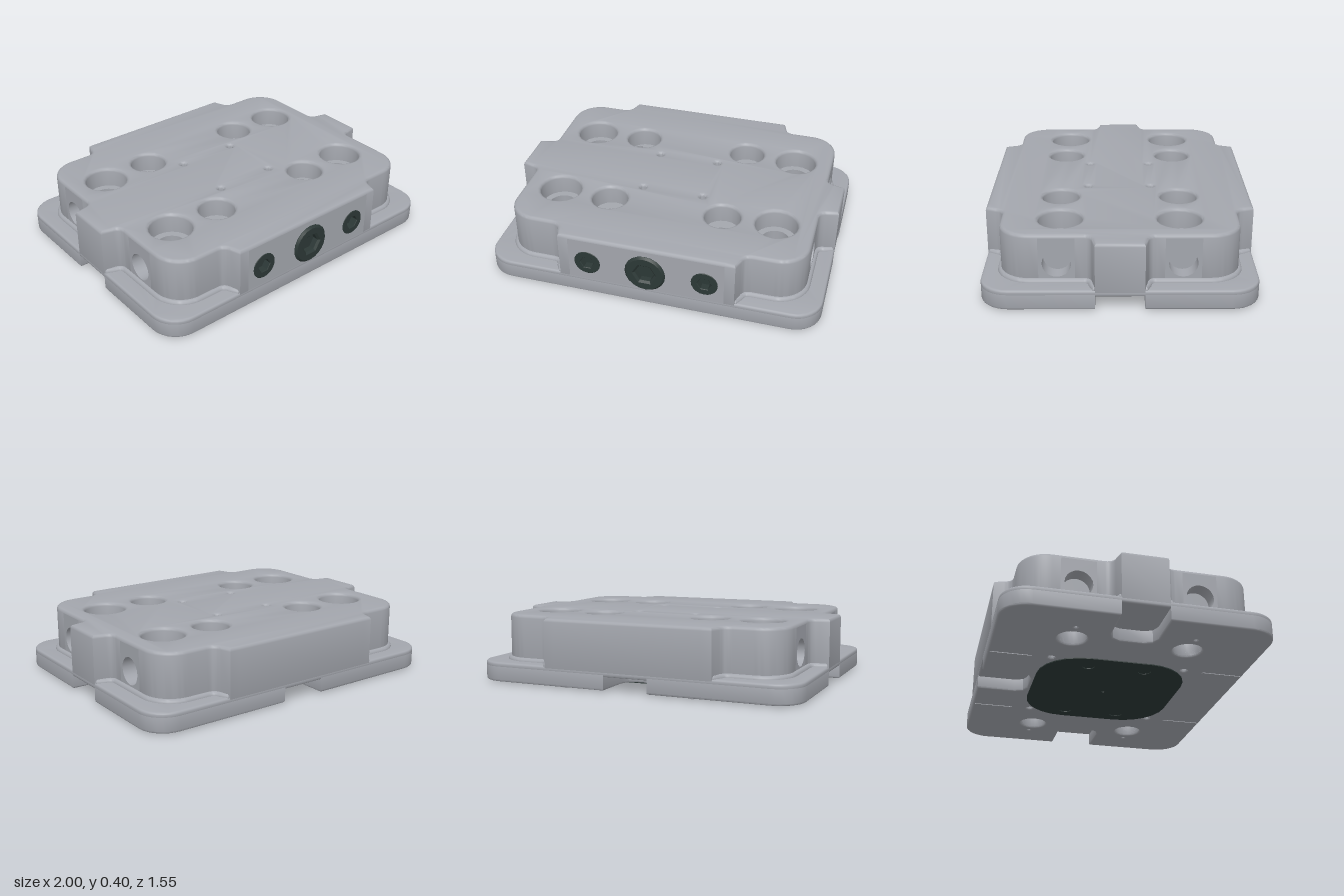
import * as THREE from 'three';
import { toCreasedNormals } from 'three/addons/utils/BufferGeometryUtils.js';

const HX = 1, HZ = 0.7675, WALL = 0.89;      // half sizes, recessed side wall
const PORT_Y = 0.23, FLOOR = 0.28;           // side port height, counterbore floor
const BORE = [0.665, 0.333], SCREW = [0.347, 0.345], PIN = [0.4, 0.4];
const QUADS = [[1, 1], [1, -1], [-1, -1], [-1, 1]];

const steel = new THREE.MeshStandardMaterial({ color: 0xa3a6ad, side: THREE.DoubleSide });
steel.name = 'steelGrey';
const dark = new THREE.MeshStandardMaterial({ color: 0x2c3836, side: THREE.DoubleSide });
dark.name = 'darkFitting';

export function createModel() {
  const model = new THREE.Group();
  model.name = 'mountingBlock';

  const add = (name, geometry, material, x = 0, y = 0, z = 0) => {
    const mesh = new THREE.Mesh(geometry, material);
    mesh.name = name;
    mesh.position.set(x, y, z);
    model.add(mesh);
    return mesh;
  };
  const polygon = (x, y, r, sides = 20) => {
    const p = new THREE.Path();
    p.setFromPoints(Array.from({ length: sides }, (_, i) => {
      const a = (i / sides) * Math.PI * 2;
      return new THREE.Vector2(x + r * Math.cos(a), y + r * Math.sin(a));
    }));
    return p;
  };
  const fourHoles = ([x, z], r, sides) => QUADS.map(([sx, sz]) => polygon(sx * x, sz * z, r, sides));
  const withHoles = (points, holes) => {
    const s = new THREE.Shape(points);
    s.holes.push(...holes);
    return s;
  };
  // Upright slab between two heights; bevels eat into the outline unless offset is given
  const slab = (shape, y0, y1, bevel, offset = -bevel) => {
    const g = new THREE.ExtrudeGeometry(shape, {
      depth: y1 - y0 - 2 * bevel, bevelEnabled: bevel > 0, bevelSize: bevel,
      bevelThickness: bevel, bevelOffset: offset, bevelSegments: 3, curveSegments: 8,
    });
    return g.rotateX(-Math.PI / 2).translate(0, y0 + bevel, 0);
  };
  const smooth = (g) => toCreasedNormals(g, 0.6);
  const tube = (r, y0, y1, sides = 20) =>
    new THREE.CylinderGeometry(r, r, y1 - y0, sides, 1, true).translate(0, (y0 + y1) / 2, 0);

  // Upper outline: one quarter, mirrored to four
  const upperOutline = (hx, hz) => {
    const q = new THREE.Path();
    q.moveTo(0.46, hz);
    q.lineTo(0.52, hz);
    q.lineTo(0.54, 0.71);
    q.quadraticCurveTo(0.55, 0.665, 0.6, 0.665);
    q.lineTo(0.72, 0.665);
    q.absarc(0.72, 0.495, 0.17, Math.PI / 2, 0, true);
    q.lineTo(WALL, 0.445);
    q.lineTo(WALL, 0.245);
    q.lineTo(WALL, 0.2);
    q.quadraticCurveTo(WALL, 0.155, 0.94, 0.15);
    q.lineTo(hx, 0.135);
    const pts = q.getPoints(8);
    return QUADS.flatMap(([sx, sz]) => {
      const part = pts.map((p) => new THREE.Vector2(p.x * sx, p.y * sz));
      return sx * sz > 0 ? part : part.reverse();
    });
  };

  // Base outline, optionally with key slots open to both sides and the back
  const baseOutline = (slotted) => {
    const r = 0.16, pts = [];
    const slot = [[0, -0.135], [0.23, -0.135], [0.28, -0.115], [0.3, -0.07],
      [0.3, 0.07], [0.28, 0.115], [0.23, 0.135], [0, 0.135]];
    const corner = (sx, sy, start) => {
      for (let i = 0; i <= 8; i++) {
        const a = start + (i / 8) * Math.PI / 2;
        pts.push(new THREE.Vector2(sx * (HX - r) + r * Math.cos(a), sy * (HZ - r) + r * Math.sin(a)));
      }
    };
    const cut = (map) => slotted && slot.forEach(([d, t]) => pts.push(new THREE.Vector2(...map(d, t))));
    cut((d, t) => [HX - d, t]);
    corner(1, 1, 0);
    cut((d, t) => [-t, HZ - d]);
    corner(-1, 1, Math.PI / 2);
    cut((d, t) => [d - HX, -t]);
    corner(-1, -1, Math.PI);
    corner(1, -1, Math.PI * 1.5);
    return pts;
  };

  // Base flange
  const through = () => [...fourHoles(BORE, 0.085), ...fourHoles(PIN, 0.022, 8)];
  const lower = withHoles(baseOutline(true), [...through(), ...fourHoles([0.8, 0.34], 0.012, 8)]);
  add('baseLower', smooth(slab(lower, 0.006, 0.109, 0.012)), steel);
  add('baseUpper', smooth(slab(withHoles(baseOutline(false), through()), 0.085, 0.122, 0.012)), steel);

  // Fillet where the upper block meets the flange
  const fillet = withHoles(upperOutline(0.975, 0.7425), [...fourHoles(BORE, 0.15), ...fourHoles(SCREW, 0.15)]);
  add('flangeFillet', smooth(slab(fillet, 0.1, 0.142, 0.02, 0)), steel);

  // Upper block, leaving out the wall faces that carry ports
  const block = slab(withHoles(upperOutline(HX, HZ), [
    ...fourHoles(BORE, 0.125), ...fourHoles(SCREW, 0.108), ...fourHoles([0.187, 0.187], 0.02, 8),
  ]), 0.09, 0.4, 0.02);
  const src = block.attributes.position, kept = [];
  const near = (a, b) => Math.abs(a - b) < 1e-4;
  for (let i = 0; i < src.count; i += 3) {
    const v = [0, 1, 2].map((k) => new THREE.Vector3().fromBufferAttribute(src, i + k));
    const side = v.every((p) => near(Math.abs(p.x), WALL) && Math.abs(p.z) > 0.2449 && Math.abs(p.z) < 0.4451);
    const front = v.every((p) => near(p.z, HZ) && Math.abs(p.x) < 0.4601);
    if (!side && !front) v.forEach((p) => kept.push(p.x, p.y, p.z));
  }
  const blockGeo = new THREE.BufferGeometry();
  blockGeo.setAttribute('position', new THREE.Float32BufferAttribute(kept, 3));
  add('upperBlock', smooth(blockGeo), steel);

  // Wall panels with port holes
  const panel = (half, holes) => new THREE.ShapeGeometry(withHoles(
    [[-half, 0.11], [half, 0.11], [half, 0.38], [-half, 0.38]].map((p) => new THREE.Vector2(...p)), holes));
  add('frontPanel', panel(0.46, [polygon(0, PORT_Y, 0.115), polygon(-0.347, PORT_Y, 0.076), polygon(0.347, PORT_Y, 0.076)]),
    steel, 0, 0, HZ);
  for (const [sx, sz] of QUADS) {
    const turn = sx * Math.PI / 2;
    add('sidePanel', panel(0.1, [polygon(0, PORT_Y, 0.08)]).rotateY(turn), steel, sx * WALL, 0, sz * 0.345);
    add('sidePortWall', tube(0.08, -0.09, 0).rotateZ(-turn), steel, sx * WALL, PORT_Y, sz * 0.345);
    add('sidePortEnd', new THREE.CircleGeometry(0.08, 20).rotateY(turn), steel, sx * (WALL - 0.09), PORT_Y, sz * 0.345);
  }

  // Front plugs with hex sockets
  const plug = (x, r, hex, proud, bevel) => {
    const g = new THREE.ExtrudeGeometry(withHoles(polygon(0, 0, r, 20).getPoints(), [polygon(0, 0, hex, 6)]), {
      depth: 0.06 - 2 * bevel, bevelEnabled: true, bevelSize: bevel, bevelThickness: bevel, bevelOffset: -bevel, bevelSegments: 1,
    });
    add('frontPlug', smooth(g), dark, x, PORT_Y, HZ + proud - 0.06 + bevel);
    add('plugSocketFloor', new THREE.CircleGeometry(hex * 1.2, 12), dark, x, PORT_Y, HZ + proud - 0.045);
  };
  plug(0, 0.12, 0.06, 0.015, 0.012);
  for (const s of [-1, 1]) plug(s * 0.347, 0.078, 0.042, 0.003, 0.003);

  // Counterbored bolt holes, socket screws and pin holes
  for (const [sx, sz] of QUADS) {
    const bx = sx * BORE[0], bz = sz * BORE[1], cx = sx * SCREW[0], cz = sz * SCREW[1];
    add('boltHoleLedge', new THREE.RingGeometry(0.084, 0.13, 20).rotateX(-Math.PI / 2), steel, bx, FLOOR, bz);
    add('boltHoleWall', tube(0.085, 0.018, FLOOR), steel, bx, 0, bz);
    const head = withHoles(polygon(0, 0, 0.112).getPoints(), [
      polygon(0, 0, 0.045, 6),
      polygon(sx * PIN[0] - cx, -(sz * PIN[1] - cz), 0.022, 8),
    ]);
    add('socketScrew', new THREE.ShapeGeometry(head).rotateX(-Math.PI / 2), steel, cx, FLOOR, cz);
    add('screwSocketWall', tube(0.045, FLOOR - 0.05, FLOOR, 6).rotateY(Math.PI / 2), steel, cx, 0, cz);
    add('screwSocketFloor', new THREE.CircleGeometry(0.046, 12).rotateX(-Math.PI / 2), steel, cx, FLOOR - 0.05, cz);
    add('pinHoleWall', tube(0.022, 0.018, FLOOR, 8), steel, sx * PIN[0], 0, sz * PIN[1]);
    // Thin rib on the underside, running to the edge
    add('undersideRib', new THREE.BoxGeometry(0.018, 0.01, 0.24), steel, sx * 0.4, 0.007, sz * 0.635);
  }

  // Dark plate under the base, with recessed screws
  const h = 0.45, r = 0.27, platePoints = [];
  [[1, 1], [-1, 1], [-1, -1], [1, -1]].forEach(([sx, sy], k) => {
    for (let i = 0; i <= 6; i++) {
      const a = (k + i / 6) * Math.PI / 2;
      platePoints.push(new THREE.Vector2(sx * (h - r) + r * Math.cos(a), sy * (h - r) + r * Math.sin(a)));
    }
  });
  const plate = withHoles(platePoints, [...fourHoles([0.35, 0.17], 0.04, 12), polygon(0, 0, 0.012, 8)]);
  add('bottomPlate', slab(plate, 0, 0.012, 0), dark);
  const discs = [...QUADS.map(([sx, sz]) => [sx * 0.35, sz * 0.17, 0.041]), [0, 0, 0.013]];
  for (const [x, z, rad] of discs) {
    add('bottomPlateScrew', new THREE.CylinderGeometry(rad, rad, 0.008, 12), dark, x, 0.0085, z);
  }

  model.position.z = -0.0075;
  const root = new THREE.Group();
  root.name = 'clampBlock';
  root.add(model);
  return root;
}
